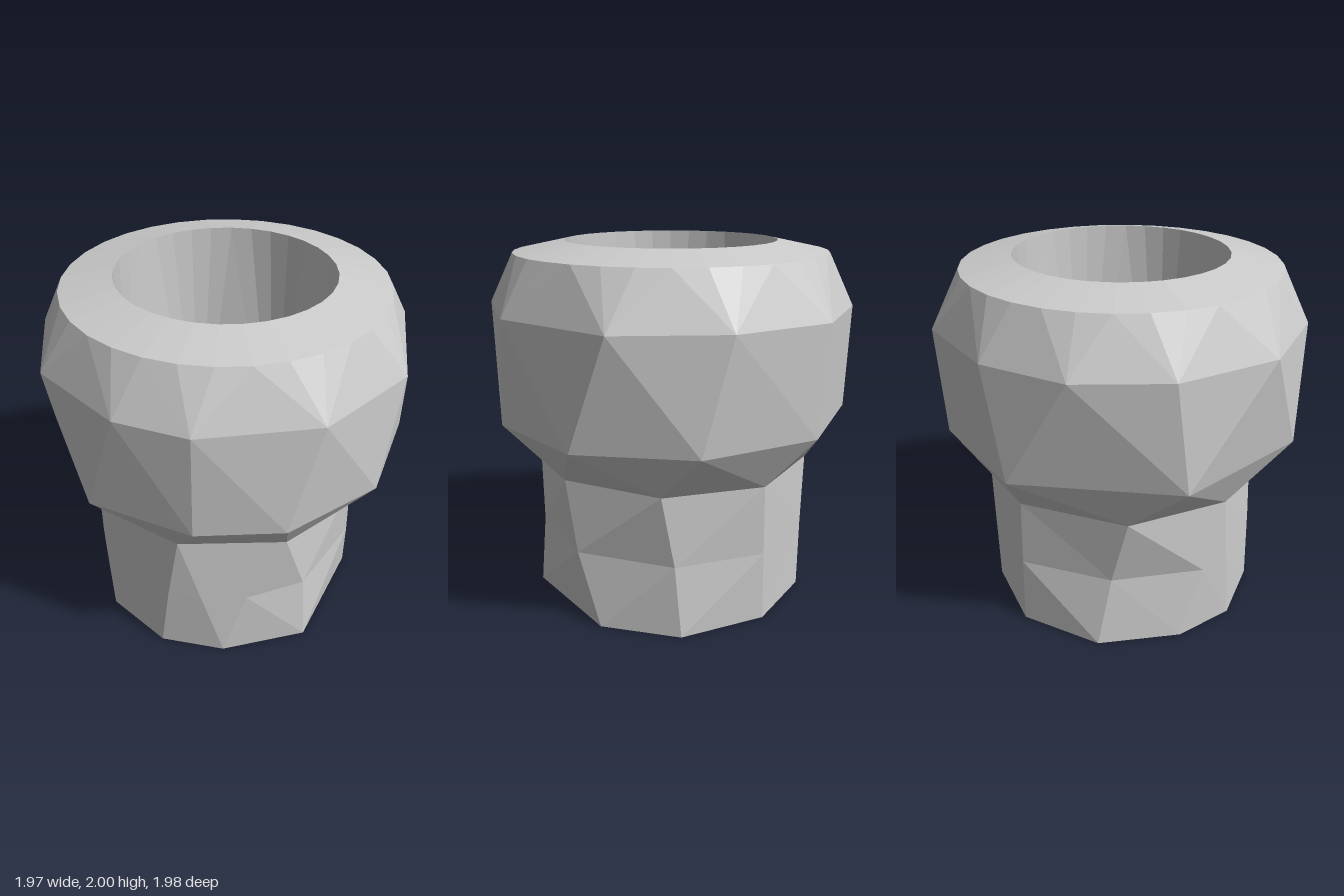
import * as THREE from 'three';

const TAU = Math.PI * 2;
const angle = (p) => (Math.atan2(p.z, p.x) + TAU) % TAU;

// Irregular horizontal ring from [x, z] corners, sorted by angle
function ring(y, corners) {
  return corners.map(([x, z]) => new THREE.Vector3(x, y, z)).sort((a, b) => angle(a) - angle(b));
}

function circle(y, r, n = 32) {
  return Array.from({ length: n }, (_, i) =>
    new THREE.Vector3(r * Math.cos((i / n) * TAU), y, r * Math.sin((i / n) * TAU)));
}

// Joins two rings, whatever their corner counts, with a band of triangles
function band(a, b, out) {
  const at = (r, i) => angle(r[i % r.length]) + TAU * Math.floor(i / r.length);
  let i = 0, j = 0;
  while (i < a.length || j < b.length) {
    const p = a[i % a.length], q = b[j % b.length];
    const stepA = j >= b.length ||
      (i < a.length && at(a, i) + at(a, i + 1) < at(b, j) + at(b, j + 1));
    if (stepA) out.push(a[++i % a.length], p, q);
    else out.push(p, q, b[++j % b.length]);
  }
}

// Flat cap over a ring
function cap(r, up, out) {
  const c = new THREE.Vector3(0, r[0].y, 0);
  r.forEach((p, i) => {
    const q = r[(i + 1) % r.length];
    out.push(c, up ? q : p, up ? p : q);
  });
}

export function createModel() {
  const group = new THREE.Group();
  const material = new THREE.MeshStandardMaterial({ color: 0xcccccc, flatShading: true });

  const add = (name, build) => {
    const points = [];
    build(points);
    const geometry = new THREE.BufferGeometry().setFromPoints(points);
    geometry.computeVertexNormals();
    const mesh = new THREE.Mesh(geometry, material);
    mesh.name = name;
    group.add(mesh);
  };
  const wall = (name, rings) => add(name, (out) => {
    for (let k = 0; k + 1 < rings.length; k++) band(rings[k], rings[k + 1], out);
  });

  // Outer rings, bottom to top
  const foot = ring(0, [[0.77, 0.08], [0.55, 0.51], [0.26, 0.72], [-0.16, 0.75], [-0.47, 0.58],
    [-0.73, 0.2], [-0.7, -0.28], [-0.38, -0.64], [0.1, -0.76], [0.5, -0.56]]);
  const waist = ring(0.39, [[0.74, 0.08], [0.62, 0.4], [0.46, 0.59], [0.31, 0.7], [-0.2, 0.74],
    [-0.36, 0.66], [-0.66, 0.25], [-0.71, -0.27], [-0.37, -0.66], [0.13, -0.73], [0.6, -0.44]]);
  const neck = ring(0.78, [[0.74, 0.23], [0.37, 0.67], [-0.25, 0.73], [-0.69, 0.36],
    [-0.73, -0.25], [-0.36, -0.68], [0.2, -0.73], [0.65, -0.37]]);
  const bellyLow = ring(1.05, [[0.9, 0.4], [0.61, 0.76], [0.07, 0.99], [-0.71, 0.69],
    [-0.98, -0.17], [-0.6, -0.77], [0.05, -0.97], [0.66, -0.75], [0.96, -0.19]]);
  const bellyHigh = ring(1.65, [[0.98, 0.26], [0.64, 0.78], [0.29, 0.96], [-0.29, 0.97],
    [-0.77, 0.64], [-0.99, 0.19], [-0.95, -0.3], [-0.64, -0.79], [-0.1, -0.99],
    [0.49, -0.9], [0.94, -0.36]]);

  // Rim circles and the floor of the hollow
  const rimOuter = circle(1.94, 0.86);
  const rimInner = circle(2, 0.58);
  const floor = ring(0.2, [[0.56, 0], [0.41, 0.41], [-0.11, 0.57], [-0.47, 0.3],
    [-0.51, -0.22], [-0.14, -0.55], [0.35, -0.44]]);

  add('base', (out) => cap(foot, false, out));
  wall('stem', [foot, waist, neck]);
  wall('belly', [neck, bellyLow, bellyHigh, rimOuter]);
  wall('rim', [rimOuter, rimInner]);
  wall('innerWall', [rimInner, floor]);
  add('innerFloor', (out) => cap(floor, true, out));
  return group;
}
